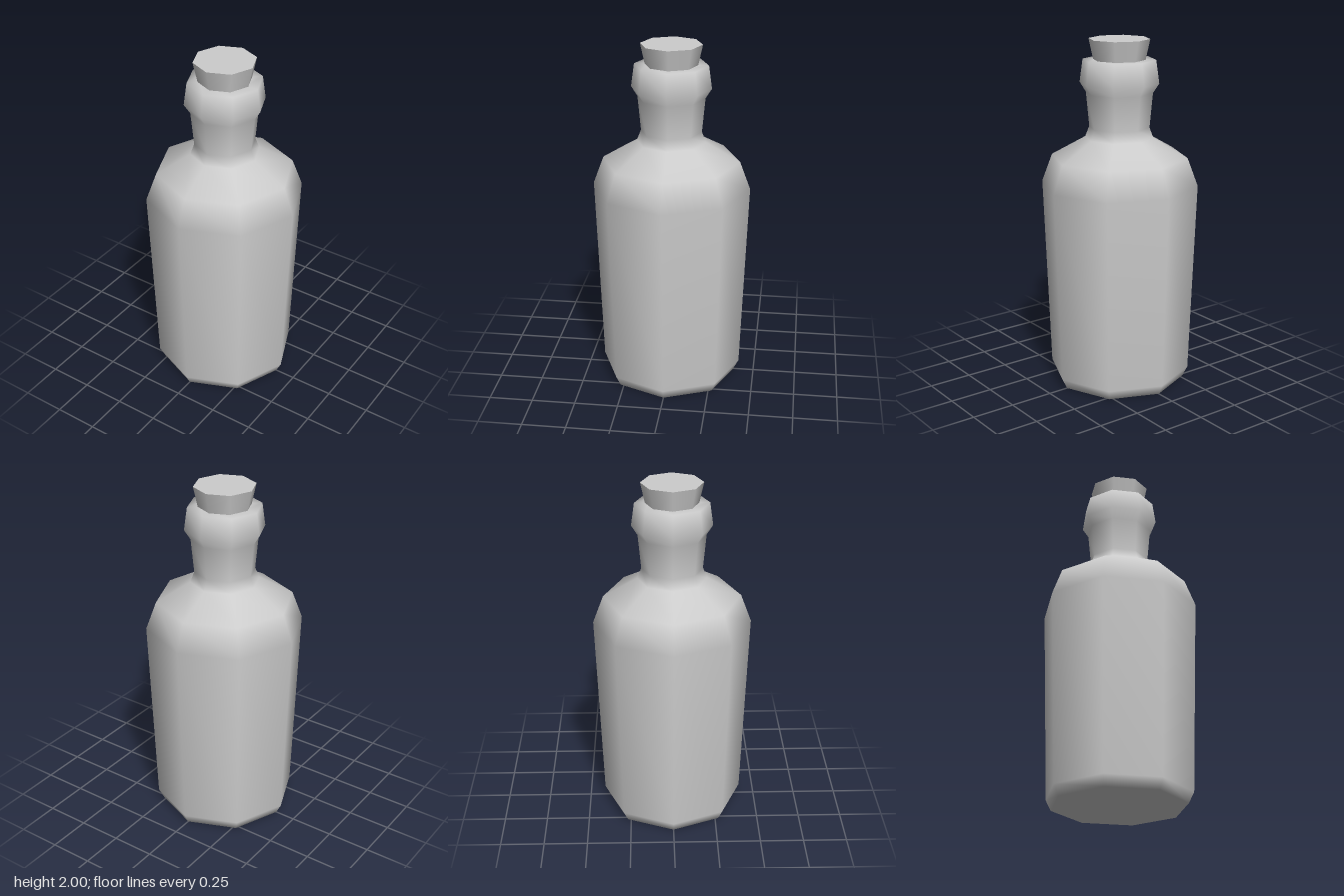
import * as THREE from 'three';

const SIDES = 8;

export function createModel() {
  const group = new THREE.Group();
  const material = new THREE.MeshStandardMaterial({ color: 0xcccccc, side: THREE.DoubleSide });

  // Bottle: one profile from the base centre up to the mouth
  const profile = [
    [0, 0], [0.38, 0], [0.41, 0.06], [0.45, 1.175], [0.39, 1.335],
    [0.195, 1.445], [0.172, 1.505], [0.19, 1.7], [0.225, 1.755],
    [0.207, 1.885], [0.135, 1.885],
  ].map(([r, y]) => new THREE.Vector2(r, y));
  const bottle = new THREE.Mesh(new THREE.LatheGeometry(profile, SIDES), material);
  bottle.name = 'bottle';

  // Tapered cork seated in the mouth
  const cork = new THREE.Mesh(new THREE.CylinderGeometry(0.173, 0.14, 0.15, SIDES), material);
  cork.position.y = 1.925;
  cork.name = 'cork';

  group.add(bottle, cork);
  return group;
}
